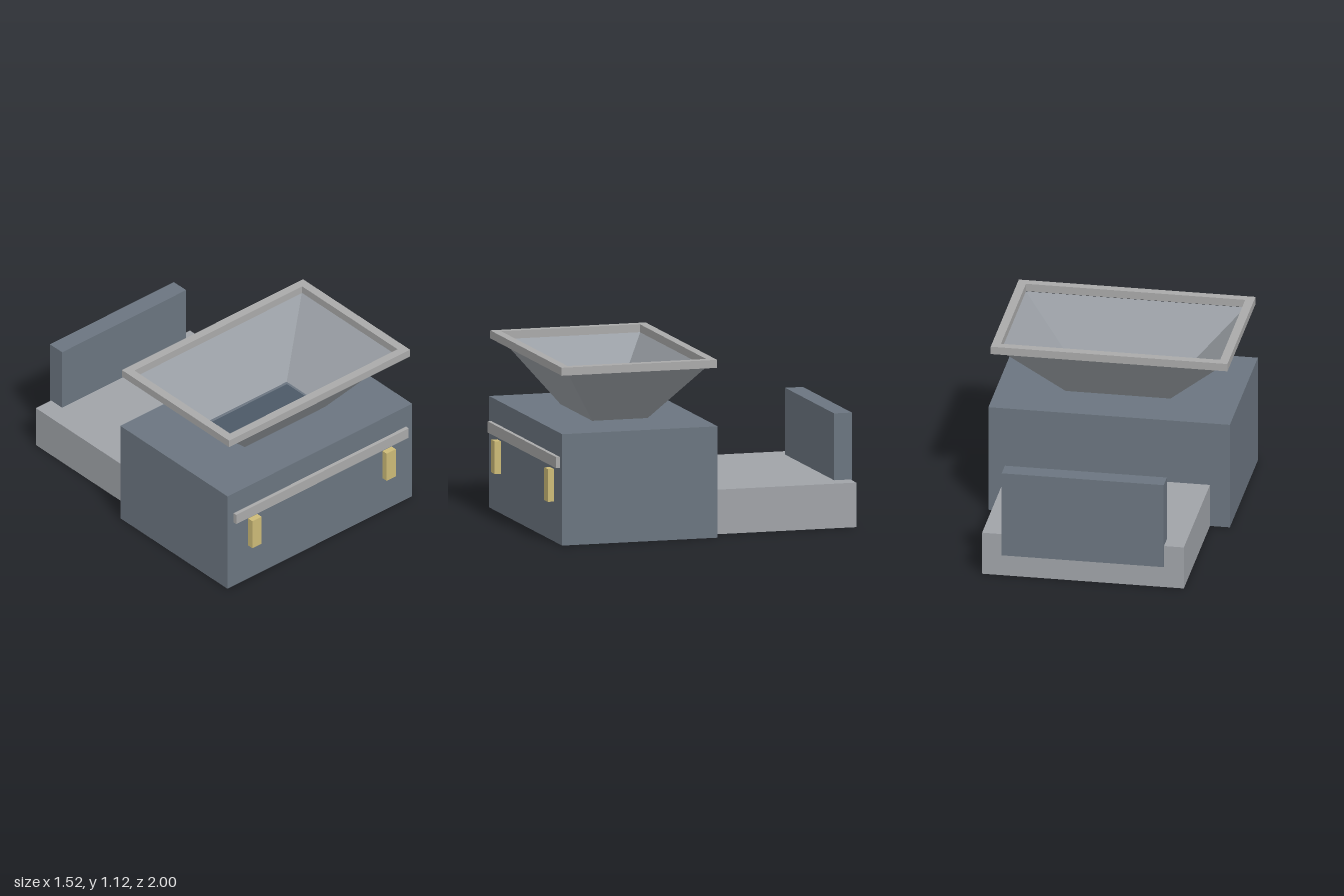
import * as THREE from 'three';

const material = (color, extra = {}) => {
  const m = new THREE.MeshStandardMaterial({ color, flatShading: true, ...extra });
  return m;
};

export function createModel() {
  const model = new THREE.Group();
  const blue = material(0x6b7580);
  const grey = material(0xa0a3a8);
  const trim = material(0xaaaaaa);
  const brass = material(0xcdbb78);
  const dark = material(0x4c5967);
  const sheet = material(0x9a9fa5, { side: THREE.DoubleSide });

  const add = (name, geometry, mat) => {
    const mesh = new THREE.Mesh(geometry, mat);
    mesh.name = name;
    model.add(mesh);
    return mesh;
  };
  // Box given by its limits on each axis
  const box = (name, [x0, x1], [y0, y1], [z0, z1], mat) => {
    const mesh = add(name, new THREE.BoxGeometry(x1 - x0, y1 - y0, z1 - z0), mat);
    mesh.position.set((x0 + x1) / 2, (y0 + y1) / 2, (z0 + z1) / 2);
    return mesh;
  };

  // Main housing with the low bed and upright plate behind it
  box('housing', [-0.76, 0.76], [0, 0.7], [-0.05, 0.96], blue);
  box('rearBed', [-0.635, 0.635], [0, 0.28], [-0.99, -0.05], grey);
  box('rearPlate', [-0.51, 0.51], [0.14, 0.7], [-1, -0.885], blue);

  // Front bar and its two latches
  box('frontBar', [-0.71, 0.71], [0.48, 0.55], [0.96, 0.985], trim);
  box('leftLatch', [0.515, 0.59], [0.25, 0.455], [0.96, 1], brass);
  box('rightLatch', [-0.59, -0.515], [0.25, 0.455], [0.96, 1], brass);

  // Dark feed opening at the foot of the hopper
  box('feedOpening', [-0.31, 0.31], [0.695, 0.705], [0.295, 0.61], dark);

  // Open four-sided funnel: a square tube whose ends are stretched to rectangles
  const funnel = new THREE.CylinderGeometry(Math.SQRT2, Math.SQRT2, 0.365, 4, 1, true);
  funnel.rotateY(Math.PI / 4);
  const p = funnel.attributes.position;
  for (let i = 0; i < p.count; i++) {
    const [halfX, halfZ] = p.getY(i) > 0 ? [0.69, 0.45] : [0.33, 0.18];
    p.setX(i, p.getX(i) * halfX);
    p.setZ(i, p.getZ(i) * halfZ);
  }
  const flat = funnel.toNonIndexed();
  flat.computeVertexNormals();
  add('hopper', flat, sheet).position.set(0, 0.8825, 0.45);

  // Rectangular frame around the mouth of the hopper
  const rectangle = (target, w, h) => target
    .moveTo(-w, -h).lineTo(w, -h).lineTo(w, h).lineTo(-w, h).closePath();
  const frame = rectangle(new THREE.Shape(), 0.745, 0.505);
  frame.holes.push(rectangle(new THREE.Path(), 0.69, 0.45));
  const rim = new THREE.ExtrudeGeometry(frame, { depth: 0.05, bevelEnabled: false });
  rim.rotateX(-Math.PI / 2);
  add('hopperRim', rim, trim).position.set(0, 1.065, 0.453);

  return model;
}
